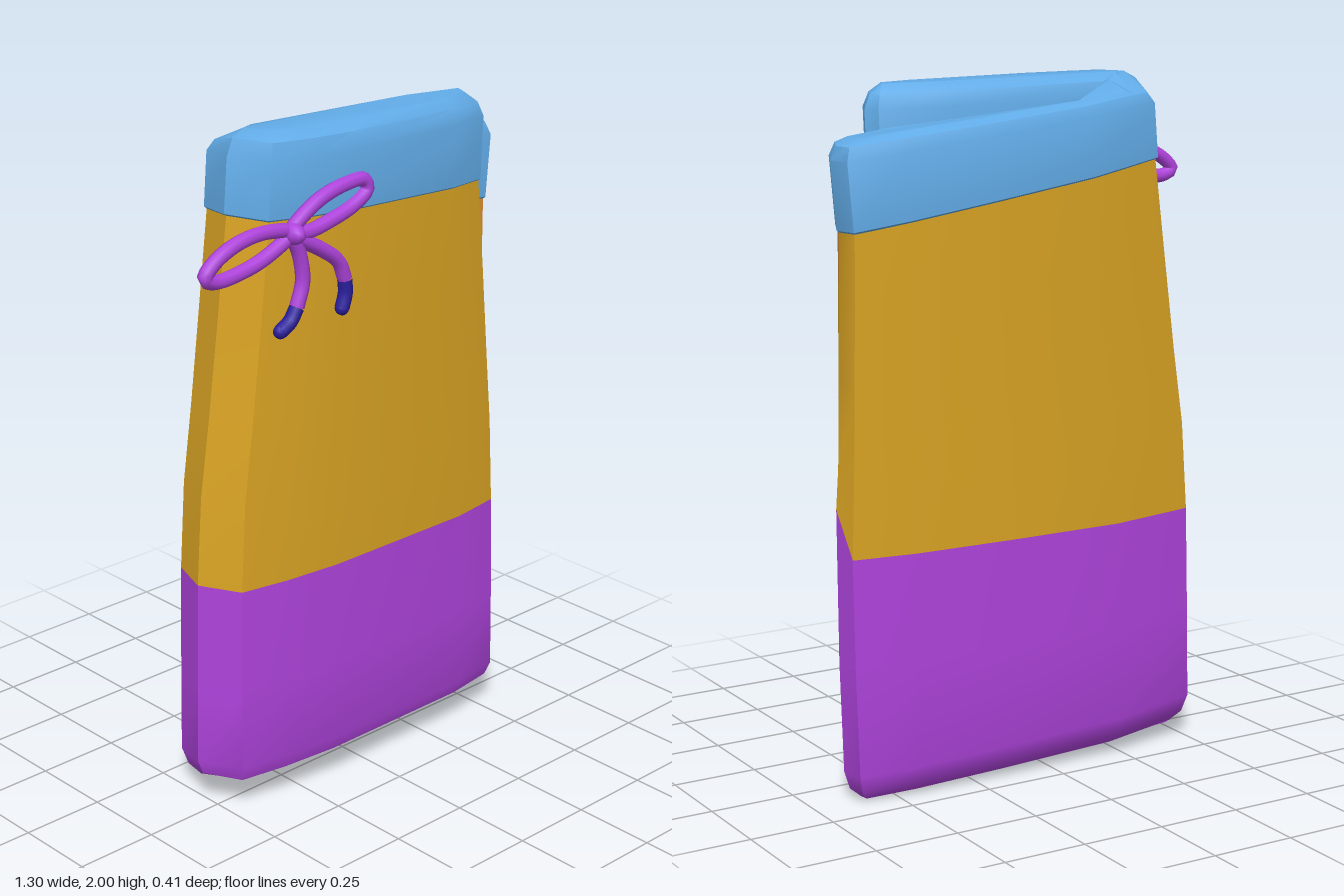
import * as THREE from 'three';
import { toCreasedNormals } from 'three/addons/utils/BufferGeometryUtils.js';

// Folded U-shaped outline seen from above: [x, z, panel], panel 0 = front, 1 = back
const OUTLINE = [
  [-0.41, -0.025, 0], [-0.36, 0.1, 0], [-0.24, 0.128, 0], [-0.1, 0.146, 0], [0.3, 0.148, 0],
  [0.43, 0.125, 0], [0.47, 0.04, 0], [0.45, -0.005, 0], [0.25, -0.05, 0], [-0.26, -0.09, 0],
  [-0.26, -0.098, 1], [0.25, -0.058, 1], [0.45, -0.02, 1], [0.61, -0.015, 1], [0.65, -0.1, 1],
  [0.64, -0.18, 1], [0.47, -0.205, 1], [0.2, -0.212, 1], [-0.12, -0.21, 1], [-0.37, -0.155, 1],
];
const N = OUTLINE.length;

// Level: inset, heights (front left, front right, back left, back right),
// left end x, front right end x, back right end x, raise at the back panel's tip
function ring([inset, fl, fr, bl, br, left, frontEnd, backEnd, raise = 0]) {
  const pts = OUTLINE.map(([x, z, back], i) => {
    const u = (x + 0.41) / (back ? 1.06 : 0.88);
    const y = back ? bl + (br - bl) * u : fl + (fr - fl) * u;
    const lift = i === 14 ? raise : i === 13 ? raise * 0.45 : 0;
    return new THREE.Vector3(left + ((back ? backEnd : frontEnd) - left) * u, y + lift, z);
  });
  const normal = (a, b) => new THREE.Vector2(-(b.z - a.z), b.x - a.x).normalize();
  return pts.map((p, i) => {
    const n0 = normal(pts[(i + N - 1) % N], p);
    const n1 = normal(p, pts[(i + 1) % N]);
    const m = n0.clone().add(n1).normalize();
    const k = inset / Math.max(0.7, m.dot(n1));
    return new THREE.Vector3(p.x - m.x * k, p.y, p.z - m.y * k);
  });
}

// Skins the levels; patches maps "level" to a range of segments using the second material
function loft(levels, { capBottom, capTop, patches = {} } = {}) {
  const rings = levels.map(ring);
  const faces = [[], []];
  for (let l = 0; l < rings.length - 1; l++) {
    for (let i = 0; i < N; i++) {
      const j = (i + 1) % N;
      const range = patches[l];
      const target = faces[range && i >= range[0] && i <= range[1] ? 1 : 0];
      const a = rings[l], b = rings[l + 1];
      target.push(a[i], a[j], b[j], a[i], b[j], b[i]);
    }
  }
  const cap = (r, up) => {
    const flat = r.map((p) => new THREE.Vector2(p.x, -p.z));
    for (const [a, b, c] of THREE.ShapeUtils.triangulateShape(flat, [])) {
      if (up) faces[0].push(r[a], r[b], r[c]);
      else faces[0].push(r[a], r[c], r[b]);
    }
  };
  if (capBottom) cap(rings[0], false);
  if (capTop) cap(rings[rings.length - 1], true);
  const geo = new THREE.BufferGeometry().setFromPoints([...faces[0], ...faces[1]]);
  const out = toCreasedNormals(geo, 0.6);
  out.clearGroups();
  out.addGroup(0, faces[0].length, 0);
  if (faces[1].length) out.addGroup(faces[0].length, faces[1].length, 1);
  return out;
}

export function createModel() {
  const mat = (name, color) => {
    const m = new THREE.MeshStandardMaterial({ color });
    m.name = name;
    return m;
  };
  const yellow = mat('yellow cloth', 0xdba524);
  const purple = mat('purple cloth', 0xb044de);
  const blue = mat('blue band', 0x62ace8);
  const navy = mat('navy trim', 0x2c1f9e);
  const orange = mat('orange patch', 0xdb9030);

  const group = new THREE.Group();
  group.name = 'foldedShorts';
  const add = (name, geo, material) => {
    const mesh = new THREE.Mesh(geo, material);
    mesh.name = name;
    group.add(mesh);
    return mesh;
  };

  // Purple lower part, with a navy strip along the inner hem of the back panel
  const seam = [0.005, 0.71, 0.71, 0.71, 0.71, -0.54, 0.56, 0.655, 0.13];
  add('lowerLegs', loft([
    [0.05, 0.088, 0.092, 0.045, 0.0, -0.55, 0.57, 0.64],
    [0.018, 0.105, 0.11, 0.078, 0.028, -0.55, 0.57, 0.64],
    [0.003, 0.15, 0.15, 0.13, 0.08, -0.552, 0.572, 0.64],
    [0.003, 0.4, 0.4, 0.4, 0.4, -0.546, 0.567, 0.65],
    seam,
  ], { capBottom: true, patches: { 0: [10, 12] } }), [purple, navy]);

  // Yellow upper part, with an orange patch inside the back panel's free end
  add('upperLegs', loft([
    seam,
    [0.006, 0.97, 0.97, 0.97, 0.97, -0.522, 0.546, 0.647],
    [0.006, 1.2, 1.2, 1.2, 1.2, -0.487, 0.522, 0.642],
    [0.006, 1.47, 1.47, 1.47, 1.46, -0.45, 0.495, 0.637],
    [0.006, 1.78, 1.74, 1.775, 1.62, -0.41, 0.465, 0.635],
  ], { patches: { 3: [12, 13] } }), [yellow, orange]);

  // Blue waistband with a rounded top
  add('waistband', loft([
    [0.012, 1.765, 1.725, 1.755, 1.6, -0.413, 0.465, 0.635],
    [0, 1.775, 1.735, 1.765, 1.61, -0.413, 0.465, 0.635],
    [0, 1.93, 1.92, 1.92, 1.8, -0.4, 0.472, 0.652],
    [0.016, 1.98, 1.96, 1.95, 1.838, -0.395, 0.472, 0.652],
    [0.05, 2.0, 1.987, 1.962, 1.855, -0.39, 0.472, 0.652],
  ], { capTop: true }), [blue]);

  // Drawstring bow
  const Z = 0.15, R = 0.021;
  const cord = (name, pts, material, closed = false) => {
    const curve = new THREE.CatmullRomCurve3(pts.map(([x, y]) => new THREE.Vector3(x, y, Z)), closed);
    add(name, new THREE.TubeGeometry(curve, closed ? 48 : 16, R, 8, closed), material);
  };
  cord('rightBowLoop', [[-0.33, 1.745], [-0.42, 1.765], [-0.52, 1.755], [-0.6, 1.72],
    [-0.632, 1.685], [-0.6, 1.668], [-0.5, 1.675], [-0.41, 1.7]], purple, true);
  cord('leftBowLoop', [[-0.33, 1.745], [-0.24, 1.81], [-0.13, 1.84], [-0.06, 1.838],
    [-0.05, 1.81], [-0.1, 1.775], [-0.19, 1.748], [-0.27, 1.735]], purple, true);
  const knot = add('bowKnot', new THREE.SphereGeometry(0.035, 12, 8), purple);
  knot.position.set(-0.33, 1.745, 0.16);
  knot.scale.set(0.8, 0.85, 1.2);

  // Hanging tails with navy tips
  const tails = [
    ['rightTail', [[-0.33, 1.74], [-0.3, 1.68], [-0.288, 1.6], [-0.31, 1.53]], [[-0.31, 1.53], [-0.335, 1.495], [-0.37, 1.475]]],
    ['leftTail', [[-0.32, 1.73], [-0.22, 1.675], [-0.155, 1.625], [-0.132, 1.57]], [[-0.132, 1.57], [-0.13, 1.53], [-0.142, 1.488]]],
  ];
  for (const [name, cordPts, tipPts] of tails) {
    cord(name, cordPts, purple);
    cord(name + 'Tip', tipPts, navy);
    const end = add(name + 'End', new THREE.SphereGeometry(R, 10, 8), navy);
    const [x, y] = tipPts[2];
    end.position.set(x, y, Z);
    end.scale.setScalar(0.98);
  }
  return group;
}
